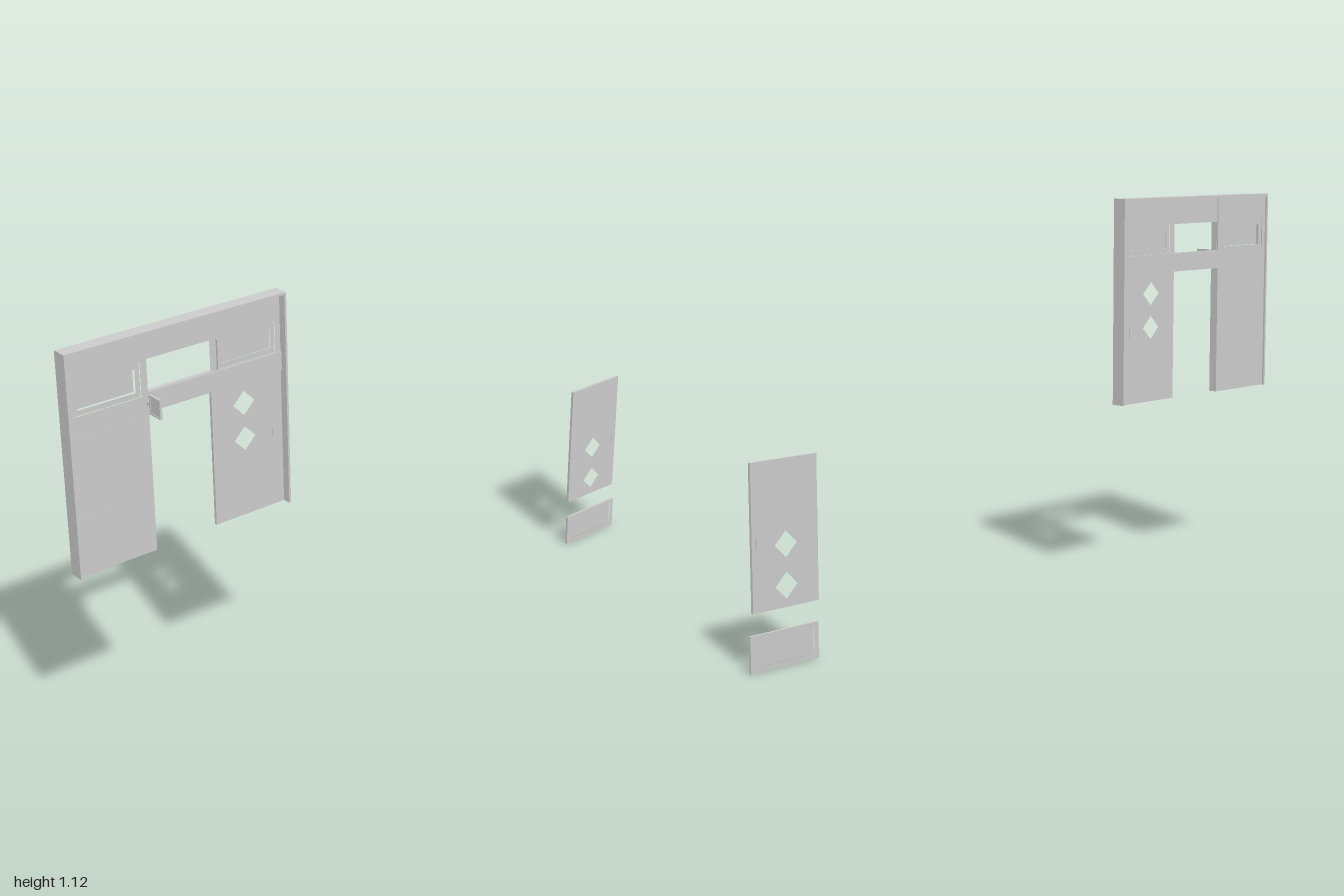
import * as THREE from 'three';

const mat = new THREE.MeshStandardMaterial({ color: 0xcccccc, flatShading: true });

// corner list of an upright rectangle in the z-y plane
const rect = (z0, z1, y0, y1) => [[z0, y0], [z1, y0], [z1, y1], [z0, y1]];
const diamond = (z, y, r = 0.034) => [[z - r, y], [z, y - r], [z + r, y], [z, y + r]];
const toPoints = (list) => list.map(([z, y]) => new THREE.Vector2(-z, y));

export function createModel() {
  const model = new THREE.Group();

  // plate with holes, drawn in z-y and extruded from x0 to x1
  function slab(name, x0, x1, outline, holes = [], parent = model) {
    const shape = new THREE.Shape(toPoints(outline));
    holes.forEach((h) => shape.holes.push(new THREE.Path(toPoints(h))));
    const geo = new THREE.ExtrudeGeometry(shape, { depth: x1 - x0, bevelEnabled: false });
    geo.rotateY(Math.PI / 2).translate(x0, 0, 0);
    const mesh = new THREE.Mesh(geo, mat);
    mesh.name = name;
    parent.add(mesh);
    return mesh;
  }

  // window: raised border around a thin pane
  function windowPanel(name, z0, z1, y0, y1, x0, x1) {
    const g = new THREE.Group();
    g.name = name;
    const b = 0.014, mid = (x0 + x1) / 2;
    slab('windowBorder', x0, x1, rect(z0, z1, y0, y1), [rect(z0 + b, z1 - b, y0 + b, y1 - b)], g);
    slab('windowPane', mid - 0.001, mid + 0.001, rect(z0 + b, z1 - b, y0 + b, y1 - b), [], g);
    model.add(g);
  }

  // door leaf with two diamond openings and a handle on each face
  function doorLeaf(name, z0, z1, y0, y1, zc, diamonds, zHandle) {
    const g = new THREE.Group();
    g.name = name;
    slab('leaf', -0.033, -0.025, rect(z0, z1, y0, y1), diamonds.map((y) => diamond(zc, y)), g);
    const yh = diamonds[0] - 0.005 + (name === 'looseDoor' ? 0.015 : -0.105);
    slab('handle', -0.036, -0.023, rect(zHandle - 0.003, zHandle + 0.003, yh - 0.016, yh + 0.016), [], g);
    model.add(g);
  }

  // outer frame: two posts and a top beam
  const F0 = -0.044, F1 = -0.002;
  slab('outerFrame', F0, F1, [
    [0.336, 0.525], [0.342, 0.525], [0.342, 1.118], [0.994, 1.118],
    [0.994, 0.525], [1, 0.525], [1, 1.125], [0.336, 1.125],
  ]);

  // thick fixed wall beside the doorway, with a window above
  const L0 = -0.038, L1 = -0.012;
  slab('fixedWall', L0, L1, rect(0.765, 0.994, 0.525, 1.118), [rect(0.785, 0.98, 0.955, 1.045)]);
  windowPanel('fixedWindow', 0.785, 0.98, 0.955, 1.045, L0 + 0.003, L1 - 0.003);

  // rows of short seam dashes on the fixed wall
  for (const y of [0.69, 0.9]) {
    for (let i = 0; i < 14; i++) {
      const z = 0.78 + i * 0.015;
      slab('seamDash', L0 - 0.0008, L1 + 0.0008, rect(z, z + 0.007, y - 0.001, y + 0.001));
    }
  }

  // upper wall with the open transom and a slid-back window
  slab('upperWall', -0.034, -0.024, rect(0.342, 0.765, 0.905, 1.118),
    [rect(0.567, 0.764, 0.96, 1.045), rect(0.36, 0.545, 0.96, 1.045)]);
  windowPanel('slidingWindow', 0.36, 0.545, 0.96, 1.045, -0.032, -0.026);
  slab('transomJamb', -0.024, -0.018, rect(0.543, 0.547, 0.96, 1.045));

  // door track over the doorway and the open leaf
  slab('doorTrack', -0.04, -0.02, rect(0.342, 0.765, 0.905, 0.958));
  doorLeaf('slidingDoor', 0.342, 0.567, 0.525, 0.905, 0.465, [0.845, 0.745], 0.373);

  // small projecting sign plate with a raised border
  const sign = new THREE.Group();
  sign.name = 'projectingSign';
  const addBox = (name, w, h, d, x, y, z) => {
    const m = new THREE.Mesh(new THREE.BoxGeometry(w, h, d), mat);
    m.name = name;
    m.position.set(x, y, z);
    sign.add(m);
  };
  addBox('signPlate', 0.046, 0.052, 0.003, 0.021, 0.934, 0.767);
  for (const s of [-1, 1]) {
    addBox('signRail', 0.046, 0.004, 0.007, 0.021, 0.934 + s * 0.024, 0.767);
    addBox('signStile', 0.004, 0.052, 0.007, 0.021 + s * 0.021, 0.934, 0.767);
  }
  addBox('signBracket', 0.016, 0.008, 0.006, -0.006, 0.934, 0.767);
  model.add(sign);

  // separate door leaf and window panel
  doorLeaf('looseDoor', -0.99, -0.787, 0.15, 0.525, -0.887, [0.31, 0.205], -0.975);
  windowPanel('looseWindow', -1, -0.79, 0, 0.095, -0.033, -0.026);

  return model;
}
